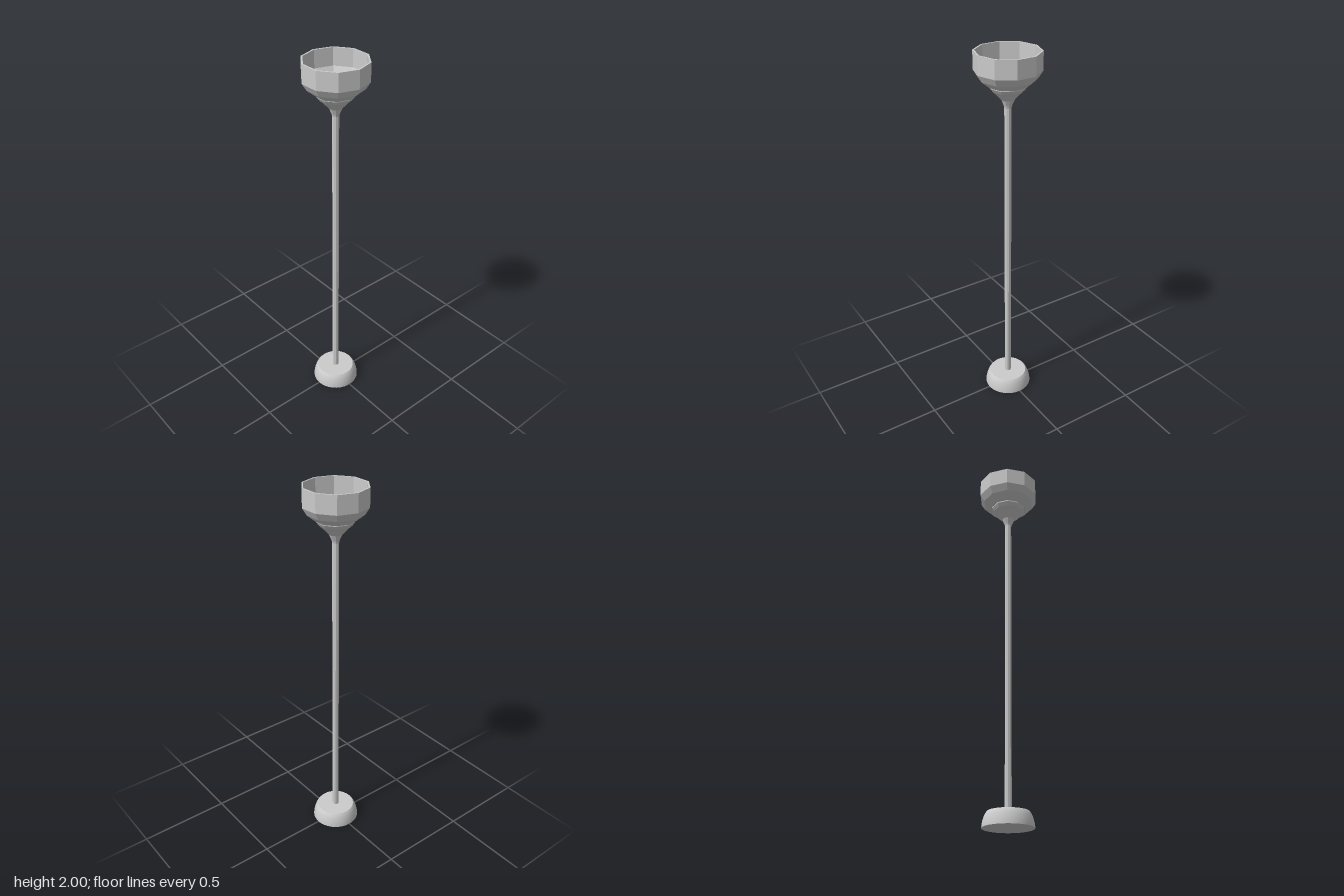
import * as THREE from 'three';

export function createModel() {
  const group = new THREE.Group();

  // Turned part from a closed or open [radius, height] profile, with a corner on +x
  const turned = (name, profile, sides, flatShading) => {
    const points = profile.map(([r, y]) => new THREE.Vector2(r, y));
    const geometry = new THREE.LatheGeometry(points, sides, Math.PI / 2);
    const material = new THREE.MeshStandardMaterial({ color: 0xcccccc, flatShading });
    const mesh = new THREE.Mesh(geometry, material);
    mesh.name = name;
    group.add(mesh);
  };

  // Round base: flat underside, bulging side, flat top (doubled points keep the rims sharp)
  turned('base', [
    [0, 0], [0.13, 0], [0.13, 0], [0.129, 0.015], [0.125, 0.035], [0.119, 0.055],
    [0.112, 0.07], [0.104, 0.08], [0.104, 0.08], [0, 0.08],
  ], 48, false);

  // Slim pole, capped at the top inside the socket
  turned('pole', [[0.018, 0.075], [0.018, 1.735], [0, 1.735]], 10, true);

  // Flared socket: outside going up, rim, then inside going down
  turned('socket', [
    [0.016, 1.71], [0.021, 1.73], [0.034, 1.76], [0.062, 1.79], [0.084, 1.81],
    [0.097, 1.828], [0.097, 1.838], [0.084, 1.838], [0.055, 1.8], [0.03, 1.767],
    [0.022, 1.745], [0.016, 1.73],
  ], 10, true);

  // Ten-sided bowl shade with an open top and a ledge around the socket
  turned('bowlShade', [
    [0.084, 1.834], [0.103, 1.834], [0.145, 1.868], [0.168, 1.905], [0.168, 2],
    [0.159, 2], [0.158, 1.908], [0.138, 1.874], [0.105, 1.843], [0.084, 1.843],
  ], 10, true);

  return group;
}
